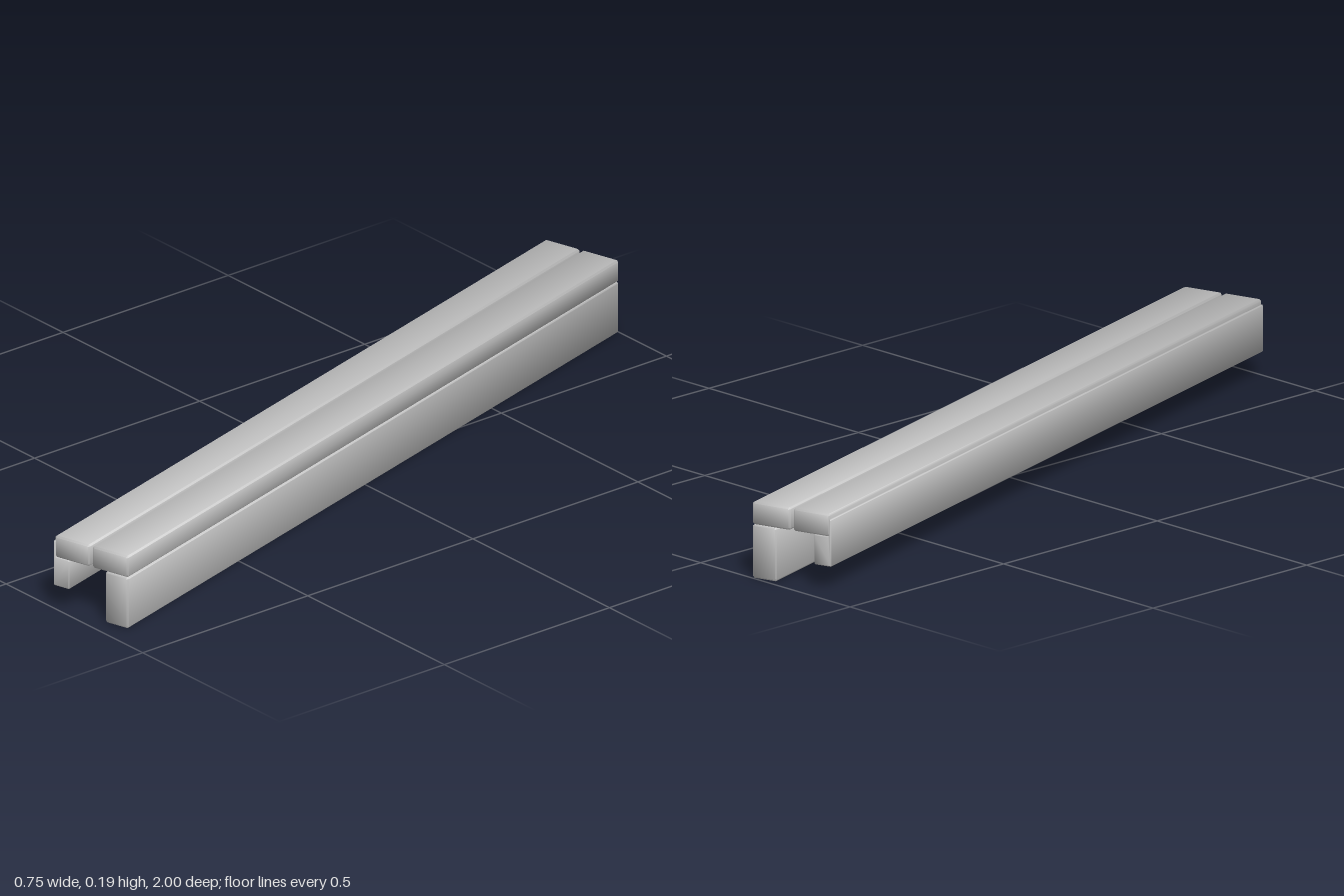
import * as THREE from 'three';
import { toCreasedNormals } from 'three/addons/utils/BufferGeometryUtils.js';

const LENGTH = 2.018;
const ANGLE = 0.2755;

// Outline with every corner cut by a small chamfer
function chamferedShape(points, c) {
  const p = points.map(([x, y]) => new THREE.Vector2(x, y));
  const n = p.length;
  const out = [];
  p.forEach((corner, i) => {
    for (const next of [p[(i + n - 1) % n], p[(i + 1) % n]]) {
      out.push(next.clone().sub(corner).setLength(c).add(corner));
    }
  });
  return new THREE.Shape(out);
}

// Long bar with softened edges, running along z
function bar(name, points, edge, material) {
  const geometry = new THREE.ExtrudeGeometry(chamferedShape(points, edge), {
    depth: LENGTH - 2 * edge,
    bevelEnabled: true,
    bevelThickness: edge,
    bevelSize: edge,
    bevelOffset: -edge,
    bevelSegments: 1,
  });
  geometry.translate(0, 0, -LENGTH / 2 + edge);
  const mesh = new THREE.Mesh(toCreasedNormals(geometry, 0.9), material);
  mesh.name = name;
  return mesh;
}

const rect = (x0, x1, y0, y1) => [[x0, y0], [x1, y0], [x1, y1], [x0, y1]];

export function createModel() {
  const grey = new THREE.MeshStandardMaterial({ color: 0xc0c0c0 });
  grey.name = 'plain grey';

  const group = new THREE.Group();
  group.name = 'pairedRails';

  const rails = new THREE.Group();
  rails.name = 'angledRails';
  rails.rotation.y = ANGLE;
  group.add(rails);

  // Two flat boards side by side with a narrow gap
  rails.add(bar('rightBoard', rect(0.004, 0.106, 0.131, 0.186), 0.004, grey));
  rails.add(bar('leftBoard', rect(-0.102, -0.004, 0.131, 0.186), 0.004, grey));

  // Deep beam under the right board
  rails.add(bar('rightBeam', rect(0.041, 0.106, 0, 0.131), 0.004, grey));

  // Shallower beam under the left board, with a lip up its outer side
  rails.add(bar('leftBeam', [
    [-0.106, 0.058], [-0.061, 0.058], [-0.061, 0.131],
    [-0.1, 0.131], [-0.1, 0.173], [-0.106, 0.173],
  ], 0.002, grey));

  return group;
}
